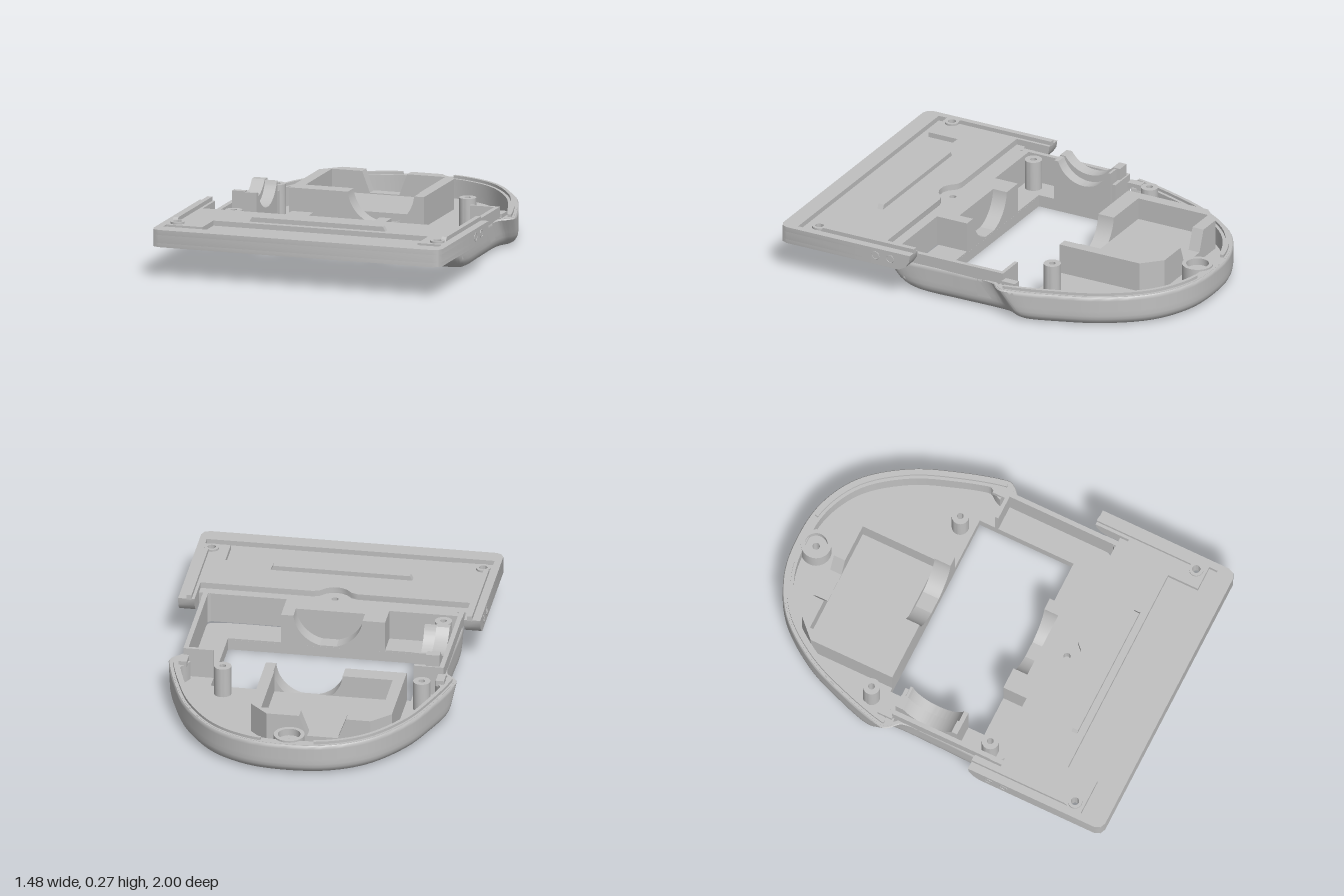
import * as THREE from 'three';
import { toCreasedNormals } from 'three/addons/utils/BufferGeometryUtils.js';

const V = (x, z) => new THREE.Vector2(x, z);
const circle = (x, z, r) => Array.from({ length: 28 }, (_, i) =>
  [x + r * Math.cos(i * Math.PI / 14), z + r * Math.sin(i * Math.PI / 14)]);
const rect = (x0, x1, z0, z1) => [[x0, z0], [x1, z0], [x1, z1], [x0, z1]];

// Closed hull outline at height y, moved inward by d; starts at the back and runs by +x
function outline(y, d) {
  const k = 0.11 * Math.max(0, 1 - y / 0.15);
  const zf = 0.25 + 0.22 * Math.sqrt(Math.max(0, 1 - (1 - y / 0.155) ** 2)) + (y < 0.055 ? d : 0);
  const half = [[0.2, -0.975], [0.39, -0.872], [0.55, -0.665], [0.645 - k * 0.1, -0.43 - k * 0.3],
    [0.7 - k * 0.25, -0.235 - k], [0.704 - k * 0.25, -0.195 - k], [0.687 - k * 0.15, -0.165 - k],
    [0.652, -0.13 - k], [0.64, -0.08 - k], [0.64, 0.08], [0.64, zf - 0.08], [0.62, zf - 0.02], [0.56, zf]];
  const ctrl = [[0, -1], ...half, [0, zf], ...half.map(([x, z]) => [-x, z]).reverse()];
  const curve = new THREE.CatmullRomCurve3(ctrl.map(([x, z]) => new THREE.Vector3(x, 0, z)), true, 'centripetal');
  const p = curve.getPoints(168).slice(0, -1);
  return p.map((q, i) => {
    const a = p[(i + 167) % 168], b = p[(i + 1) % 168];
    const tx = b.x - a.x, tz = b.z - a.z, l = Math.hypot(tx, tz);
    return [q.x - d * tz / l, q.z + d * tx / l];
  });
}

// Part of the outline around the back, from -x to +x
function backArc(y, d, keep) {
  const p = outline(y, d);
  return [...p.slice(84), ...p.slice(0, 84)].filter(keep);
}
const backStrip = (y, d0, d1, keep) => [...backArc(y, d0, keep), ...backArc(y, d1, keep).reverse()];

// Give both ends of an open run of points the same z
function squareEnds(pts, z) {
  pts[0][1] = pts[pts.length - 1][1] = z;
  return pts;
}

export function createModel() {
  const group = new THREE.Group();
  const grey = new THREE.MeshStandardMaterial({ color: 0xc0c0c0 });
  grey.name = 'grey plastic';

  const add = (name, geo, crease = 0.5) => {
    const mesh = new THREE.Mesh(toCreasedNormals(geo, crease), grey);
    mesh.name = name;
    group.add(mesh);
  };
  // Horizontal slab from a plan given as [x, z] points
  const slab = (name, pts, y0, y1, holes = []) => {
    const shape = new THREE.Shape(pts.map(([x, z]) => V(x, -z)));
    holes.forEach(h => shape.holes.push(new THREE.Path(h.map(([x, z]) => V(x, -z)).reverse())));
    const geo = new THREE.ExtrudeGeometry(shape, { depth: y1 - y0, bevelEnabled: false });
    add(name, geo.rotateX(-Math.PI / 2).translate(0, y0, 0));
  };
  // Upright profile given as [x, y] points, extruded along z
  const upright = (pts, depth) => new THREE.ExtrudeGeometry(
    new THREE.Shape(pts.map(([x, y]) => V(x, y))), { depth, bevelEnabled: false });
  // Upright block with a round cut in its top edge: a..b wide, cut centred on 0 at height cy
  const cradleGeo = (a, b, y0, y1, r, cy, depth) => {
    const half = Math.sqrt(r * r - (cy - y1) ** 2);
    const s = new THREE.Shape([V(a, y1), V(a, y0), V(b, y0), V(b, y1), V(half, y1)]);
    const t = Math.atan2(y1 - cy, half);
    s.absarc(0, cy, r, t, -Math.PI - t, true);
    return new THREE.ExtrudeGeometry(s, { depth, bevelEnabled: false, curveSegments: 24 });
  };

  // Rounded outer hull skin
  const R = 0.055;
  const levels = [0, 0.002, 0.006, 0.013, 0.024, 0.038, 0.055, 0.08, 0.11, 0.135, 0.15, 0.155, 0.155];
  const pos = [], idx = [];
  levels.forEach((y, i) => {
    const d = y < R ? R * (1 - Math.sqrt(1 - (1 - y / R) ** 2)) : [0, 0.004, 0.02][Math.max(0, i - 10)];
    outline(y, d).forEach(([x, z]) => pos.push(x, y, z));
    if (i) for (let j = 0; j < 168; j++) {
      const a = (i - 1) * 168 + j, b = (i - 1) * 168 + (j + 1) % 168;
      idx.push(a, a + 168, b, b, a + 168, b + 168);
    }
  });
  const skin = new THREE.BufferGeometry();
  skin.setAttribute('position', new THREE.Float32BufferAttribute(pos, 3));
  skin.setIndex(idx);
  add('hullSkin', skin, 0.7);

  // Floor: rear part with a counterbored screw hole, front part around the large opening
  for (const [y, d, y0, y1, r] of [[0, R, 0, 0.052, 0.032], [0.055, 0.02, 0.05, 0.06, 0.018]]) {
    slab('rearFloor', squareEnds(backArc(y, d, p => p[1] < -0.26), -0.26), y0, y1, [circle(0, -0.9, r)]);
    const front = squareEnds(outline(y, d).filter(p => p[1] >= -0.26), -0.26);
    slab('frontFloor', [...front, [-0.49, -0.26], [-0.49, 0.245], [0.49, 0.245], [0.49, -0.26]], y0, y1);
  }

  // Rear wall, rim and locating lip
  slab('rearWall', backStrip(0.05, 0.012, 0.05, p => p[1] < -0.2), 0.05, 0.155);
  slab('rearRim', backStrip(0.15, 0.01, 0.052, p => p[1] < -0.16), 0.145, 0.156);
  for (const s of [1, -1]) {
    slab('rearLip', backStrip(0.15, 0.02, 0.037, p => p[1] < -0.2 && p[0] * s > 0.12), 0.15, 0.17);
  }

  // Side walls and cross walls beside the opening
  for (const s of [1, -1]) {
    const side = (x0, x1, z0, z1) => rect(...[s * x0, s * x1].sort((a, b) => a - b), z0, z1);
    slab('sideWall', side(0.615, 0.638, -0.175, 0.37), 0.06, 0.21);
    slab('crossWall', side(0.49, 0.637, -0.178, -0.16), 0.06, 0.21);
    slab('wallFoot', side(0.61, 0.65, -0.25, -0.175), 0.145, 0.175);
  }

  // Front deck with pockets at both corners
  slab('frontDeck', [[-0.638, 0.37], [-0.28, 0.37], [-0.28, 0.245], [-0.175, 0.245], [-0.175, 0.32],
    [0.175, 0.32], [0.175, 0.245], [0.23, 0.245], [0.23, 0.41], [0.6, 0.41], [0.615, 0.395], [0.615, 0.35],
    [0.638, 0.35], [0.63, 0.38], [0.605, 0.41], [0.57, 0.42], [-0.57, 0.42], [-0.605, 0.41], [-0.63, 0.38]],
  0.06, 0.21);

  // Ledge joining deck and plate, with a round tongue holding a blind hole
  const tongue = [[0.11, 0.46], [0.08, 0.47], [0.05, 0.5], [0.02, 0.514], [-0.02, 0.514],
    [-0.05, 0.5], [-0.08, 0.47], [-0.11, 0.46]];
  const ledge = [[-0.66, 0.412], [-0.64, 0.412], [-0.64, 0.35], [-0.615, 0.35], [-0.615, 0.412],
    [0.615, 0.412], [0.615, 0.35], [0.64, 0.35], [0.64, 0.412], [0.66, 0.412], [0.66, 0.46]];
  slab('ledgeBase', [...ledge, [-0.66, 0.46]], 0.145, 0.16);
  slab('deckLedge', [...ledge, ...tongue, [-0.66, 0.46]], 0.158, 0.21, [circle(0, 0.45, 0.017)]);

  // Motor cradles at the front and back of the opening
  for (const [z, d] of [[0.245, 0.076], [-0.345, 0.085]]) {
    add('motorCradle', cradleGeo(-0.176, 0.176, 0.05, 0.21, 0.17, 0.225, d).translate(0, 0, z));
  }

  // Stepped shaft cradle on the right side
  for (const [x, d, a, b, y1, r, cy] of [[-0.615, 0.065, -0.16, 0.17, 0.27, 0.156, 0.356],
    [-0.55, 0.06, -0.16, 0.15, 0.265, 0.145, 0.31]]) {
    add('shaftCradle', cradleGeo(a, b, 0.06, y1, r, cy, d).rotateY(Math.PI / 2).translate(x, 0, 0));
  }

  // Rear box holder; its back wall dips between two steep ramps
  slab('holderFloor', [[-0.38, -0.785], [0.13, -0.785], [0.215, -0.7], [0.215, -0.345], [-0.465, -0.345],
    [-0.465, -0.7]], 0.06, 0.1);
  slab('holderWall', [[-0.26, -0.79], [-0.38, -0.79], [-0.47, -0.7], [-0.47, -0.26], [-0.175, -0.26],
    [-0.175, -0.345], [-0.415, -0.345], [-0.415, -0.73], [-0.26, -0.73]], 0.06, 0.21);
  slab('holderWall', [[-0.03, -0.79], [0.13, -0.79], [0.22, -0.7], [0.22, -0.26], [0.175, -0.26],
    [0.175, -0.345], [0.165, -0.345], [0.165, -0.73], [-0.03, -0.73]], 0.06, 0.21);
  add('holderDip', upright([[-0.26, 0.06], [-0.03, 0.06], [-0.03, 0.21], [-0.07, 0.105], [-0.22, 0.105],
    [-0.26, 0.21]], 0.06).translate(0, 0, -0.79));

  // Screw posts
  for (const [x, z] of [[-0.555, -0.33], [0.42, -0.33], [-0.555, 0.31]]) {
    slab('screwPost', circle(x, z, 0.042), 0.06, 0.21, [circle(x, z, 0.016)]);
  }
  slab('rearPost', circle(0, -0.9, 0.055), 0.06, 0.13, [circle(0, -0.9, 0.018)]);
  slab('rearPostCollar', circle(0, -0.9, 0.075), 0.06, 0.165, [circle(0, -0.9, 0.055)]);

  // Front plate in layers: bottom frame, core, and top with a stepped recess
  const plate = [[-0.74, 0.46], ...tongue.slice().reverse(), [0.74, 0.46], [0.74, 0.96], [0.728, 0.988],
    [0.7, 1], [-0.7, 1], [-0.728, 0.988], [-0.74, 0.96]];
  const holes = [circle(-0.665, 0.82, 0.02), circle(0.665, 0.82, 0.02)];
  slab('plateFrame', plate, 0.155, 0.175, [rect(-0.71, 0.71, 0.53, 0.97)]);
  slab('plateCore', plate, 0.175, 0.215, holes);
  slab('plateTop', plate, 0.215, 0.24, [...holes, [[-0.705, 0.87], [-0.52, 0.87], [-0.52, 0.71],
    [0.58, 0.71], [0.58, 0.87], [0.705, 0.87], [0.705, 0.915], [-0.705, 0.915]]]);

  // Raised bar with sloped ends
  add('plateBar', upright([[-0.35, 0.235], [0.35, 0.235], [0.335, 0.263], [-0.335, 0.263]], 0.03)
    .translate(0, 0, 0.645));

  // Arms, rails, screw bosses and pivot rings on both sides of the plate
  for (const s of [1, -1]) {
    add('plateArm', upright([[-0.47, 0.155], [-0.34, 0.155], [-0.305, 0.175], [-0.285, 0.205],
      [-0.28, 0.24], [-0.47, 0.24]], 0.08).rotateY(Math.PI / 2).translate(s * 0.7 - 0.04, 0, 0));
    add('plateRail', upright([[-0.8, 0.235], [-0.28, 0.235], [-0.28, 0.26], [-0.78, 0.26]], 0.025)
      .rotateY(Math.PI / 2).translate(s * 0.687 - 0.0125, 0, 0));
    slab('plateBoss', circle(s * 0.665, 0.82, 0.035), 0.235, 0.25, [circle(s * 0.665, 0.82, 0.02)]);
    for (const z of [0.39, 0.47]) {
      add('pivotRing', new THREE.TorusGeometry(0.019, 0.004, 6, 24)
        .rotateY(Math.PI / 2).translate(s * 0.738, 0.2, z));
    }
  }
  return group;
}
